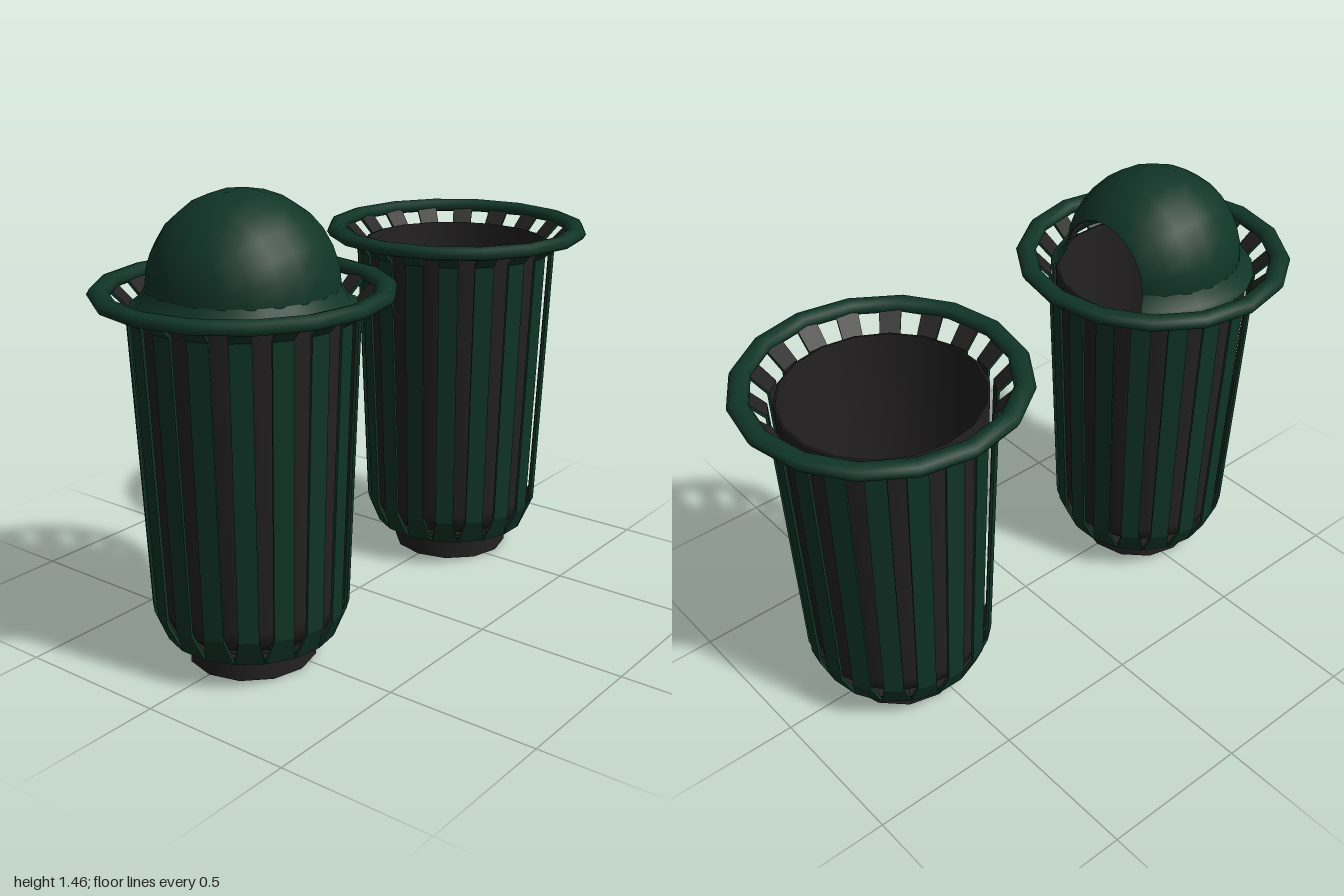
import * as THREE from 'three';

const green = new THREE.MeshStandardMaterial({ name: 'dark green paint', color: 0x103528, side: THREE.DoubleSide });
const dark = new THREE.MeshStandardMaterial({ name: 'charcoal', color: 0x232122, side: THREE.DoubleSide });

function add(parent, name, geometry, material) {
  const mesh = new THREE.Mesh(geometry, material);
  mesh.name = name;
  parent.add(mesh);
  return mesh;
}

function lathe(points, segments, start = 0, length = Math.PI * 2) {
  return new THREE.LatheGeometry(points.map(([r, y]) => new THREE.Vector2(r, y)), segments, start, length);
}

// Bent flat bar on the +x side: [radius, height, half width] per bend.
// The inner face is the second material group.
function slatGeometry() {
  const bends = [
    [0.2, 0.081, 0.033], [0.264, 0.092, 0.045], [0.302, 0.18, 0.031],
    [0.341, 1.1, 0.032], [0.395, 1.155, 0.035],
  ];
  const rings = bends.map(([r, y, w]) => [
    [r, y, -w], [r, y, w], [r - 0.008, y + 0.006, w], [r - 0.008, y + 0.006, -w],
  ]);
  const positions = [];
  const sideSize = (bends.length - 1) * 6;
  for (const j of [0, 1, 3, 2]) {
    const k = (j + 1) % 4;
    for (let i = 0; i < rings.length - 1; i++) {
      const a = rings[i], b = rings[i + 1];
      positions.push(...a[j], ...b[j], ...a[k], ...a[k], ...b[j], ...b[k]);
    }
  }
  const g = new THREE.BufferGeometry();
  g.setAttribute('position', new THREE.Float32BufferAttribute(positions, 3));
  g.addGroup(0, sideSize * 3, 0);
  g.addGroup(sideSize * 3, sideSize, 1);
  g.computeVertexNormals();
  return g;
}

function createBin(name) {
  const bin = new THREE.Group();
  bin.name = name;

  // Pedestal with a painted underside
  const base = add(bin, 'base', new THREE.CylinderGeometry(0.2, 0.2, 0.09, 12), [dark, dark, green]);
  base.position.y = 0.045;

  // Shallow pan holding the slats
  add(bin, 'bottomPan', lathe([[0.19, 0.08], [0.258, 0.09], [0.266, 0.11]], 18), green);

  // Inner container, open at the top
  add(bin, 'liner', lathe([[0, 0.11], [0.22, 0.11], [0.262, 0.14], [0.28, 0.2], [0.318, 1.12], [0.31, 1.12]], 18), dark);

  // Ring of slats
  const slats = new THREE.Group();
  slats.name = 'slats';
  const geometry = slatGeometry();
  const count = 18;
  for (let i = 0; i < count; i++) {
    const slat = add(slats, 'slat', geometry, [green, dark]);
    slat.rotation.y = ((i + 0.5) / count) * Math.PI * 2;
  }
  bin.add(slats);

  // Flattened top rim
  const rim = add(bin, 'rim', new THREE.TorusGeometry(0.417, 0.033, 8, 16).rotateX(Math.PI / 2), green);
  rim.scale.y = 0.7;
  rim.position.y = 1.165;
  return bin;
}

// Hemisphere sliced off vertically on the +x side
function domeGeometry(radius) {
  const cut = Math.acos(0.222 / 0.285);
  return new THREE.SphereGeometry(radius, 12, 9, -Math.PI / 2, Math.PI, cut, Math.PI - cut)
    .rotateZ(-Math.PI / 2);
}

function createLid() {
  const lid = new THREE.Group();
  lid.name = 'domeLid';
  add(lid, 'dome', domeGeometry(0.285), green).position.y = 1.176;
  add(lid, 'domeLining', domeGeometry(0.279), dark).position.y = 1.176;
  // Sloped collar, interrupted at the opening
  const gap = 0.68;
  add(lid, 'collar', lathe([[0.335, 1.125], [0.31, 1.135], [0.285, 1.18]], 16,
    Math.PI / 2 + gap, Math.PI * 2 - gap * 2), green);
  return lid;
}

export function createModel() {
  const model = new THREE.Group();
  model.name = 'litterBins';

  const openBin = createBin('openBin');
  openBin.position.x = 0.55;
  model.add(openBin);

  const lidded = new THREE.Group();
  lidded.name = 'liddedBin';
  const body = createBin('binBody');
  body.rotation.y = Math.PI / 2;
  lidded.add(body, createLid());
  lidded.position.x = -0.55;
  model.add(lidded);
  return model;
}
